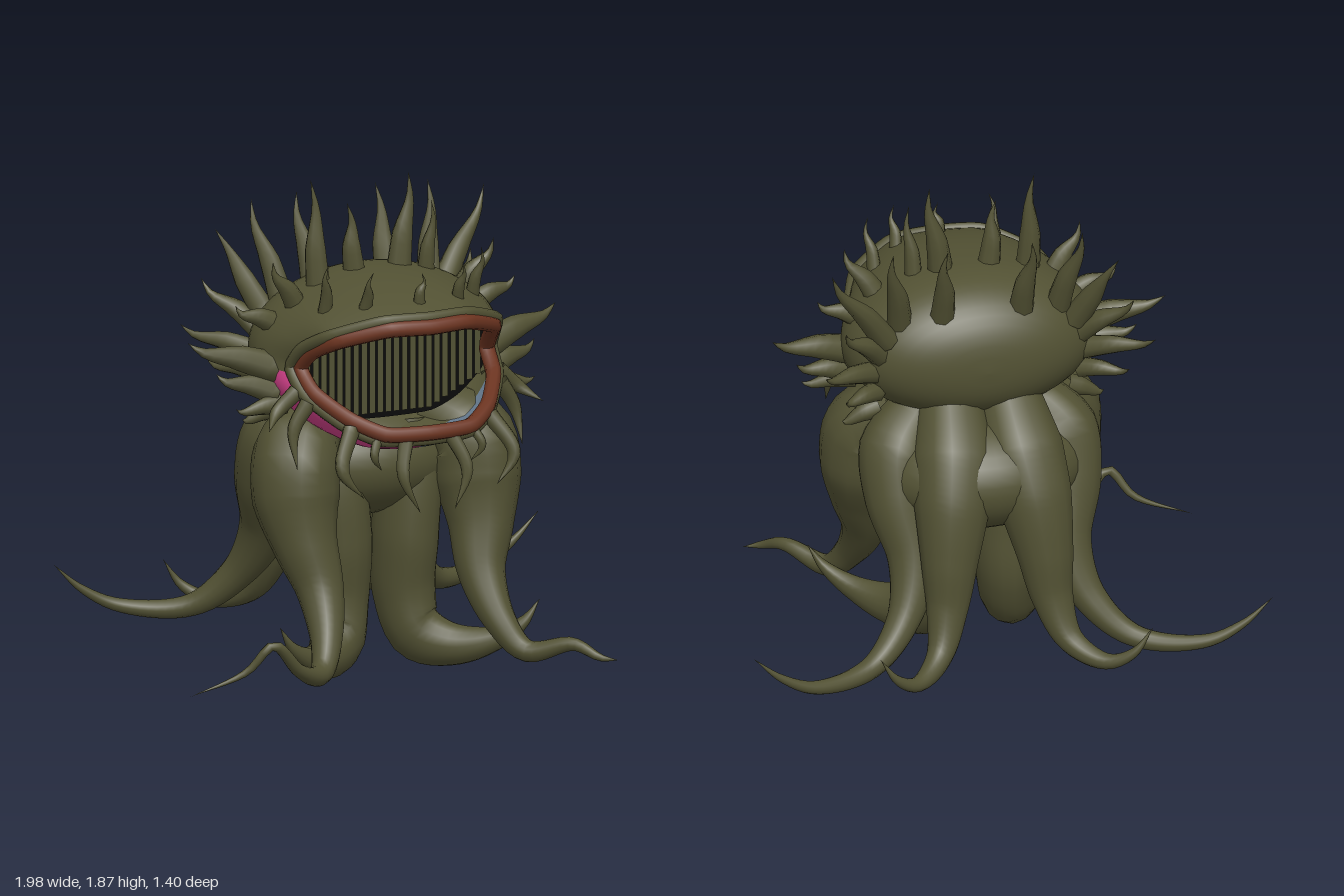
import * as THREE from 'three';

const material = (name, color) => {
  const m = new THREE.MeshStandardMaterial({ color, side: THREE.DoubleSide });
  m.name = name;
  return m;
};

// Tapered tube through points [x, y, z, radius]; squash narrows it in x
function taper(points, sides, steps, squash = 1) {
  const curve = new THREE.CatmullRomCurve3(points.map(p => new THREE.Vector3(p[0], p[1], p[2])), false, 'centripetal');
  const frames = curve.computeFrenetFrames(steps);
  const pos = [], index = [];
  for (let i = 0; i <= steps; i++) {
    const c = curve.getPointAt(i / steps);
    const f = curve.getUtoTmapping(i / steps) * (points.length - 1);
    const k = Math.min(Math.floor(f), points.length - 2);
    const r = THREE.MathUtils.lerp(points[k][3], points[k + 1][3], f - k);
    for (let j = 0; j < sides; j++) {
      const a = j / sides * Math.PI * 2;
      const d = frames.normals[i].clone().multiplyScalar(Math.cos(a) * r)
        .addScaledVector(frames.binormals[i], Math.sin(a) * r);
      pos.push(c.x + d.x * squash, c.y + d.y, c.z + d.z);
      if (i < steps) {
        const n = (j + 1) % sides, s = i * sides;
        index.push(s + j, s + n, s + sides + j, s + n, s + sides + n, s + sides + j);
      }
    }
  }
  const g = new THREE.BufferGeometry();
  g.setAttribute('position', new THREE.Float32BufferAttribute(pos, 3));
  g.setIndex(index);
  g.computeVertexNormals();
  return g;
}

// Mouth rim, top centre round by the left corner and back; spread pushes it outward
function rimCurve(spread = 0, dz = 0) {
  const half = [[0, 1.395, 0.51], [0.16, 1.395, 0.485], [0.315, 1.345, 0.38], [0.365, 1.285, 0.26], [0.38, 1.21, 0.19],
    [0.365, 1.13, 0.28], [0.28, 1.05, 0.41], [0.17, 1.0, 0.49], [0, 0.995, 0.51]];
  const all = half.concat(half.slice(1, 8).reverse().map(p => [-p[0], p[1], p[2]]));
  return new THREE.CatmullRomCurve3(all.map(([x, y, z]) => {
    const d = new THREE.Vector2(x, (y - 1.21) * 1.8).normalize().multiplyScalar(spread);
    return new THREE.Vector3(x + d.x, y + d.y, z + dz);
  }), true, 'catmullrom', 0.3);
}

// Head shell: rows from the back pole over the equator to the mouth rim
function headGeometry() {
  const rows = 24, cols = 64, pos = [], lists = [[], [], []];
  const rim = rimCurve(0.025, -0.01);
  for (let i = 0; i <= rows; i++) {
    const t = i / rows;
    for (let j = 0; j < cols; j++) {
      const u = j / cols, a = u * Math.PI * 2, s = Math.sin(a), c = Math.cos(a);
      const e = new THREE.Vector3(0.48 * s, 1.24 + (c > 0 ? 0.29 : 0.28) * c, 0);
      if (t <= 0.5) {
        const k = Math.pow(Math.sin(t * Math.PI), 0.8);
        pos.push(e.x * k, 1.22 + (e.y - 1.22) * k, -0.3 * Math.cos(t * Math.PI));
      } else {
        const r = rim.getPoint(u);
        const mid = new THREE.Vector3(e.x, e.y - 0.14 * Math.max(0, -c), r.z * 0.6);
        const p = new THREE.QuadraticBezierCurve3(e, mid, r).getPoint(t * 2 - 1);
        pos.push(p.x, p.y, p.z);
      }
      if (i < rows) {
        const n = (j + 1) % cols, b = i * cols, w = b + cols;
        const pouch = i >= 16 && i < rows - 1 && u >= 0.25 && u < 0.72;
        const list = lists[pouch ? (u < 0.5 ? 1 : 2) : 0];
        list.push(b + j, w + j, w + n, b + j, w + n, b + n);
      }
    }
  }
  const g = new THREE.BufferGeometry();
  g.setAttribute('position', new THREE.Float32BufferAttribute(pos, 3));
  g.setIndex(lists.flat());
  let start = 0;
  lists.forEach((l, m) => { g.addGroup(start, l.length, m); start += l.length; });
  g.computeVertexNormals();
  return g;
}

export function createModel() {
  const root = new THREE.Group();
  root.name = 'tentacledCreature';
  const skin = material('olive skin', 0x525133), lip = material('red brown lip', 0x6c3420);
  const pink = material('pink mouth', 0xd04088), blue = material('grey blue pouch', 0x64788c);
  const black = material('black throat', 0x080808);
  const add = (name, geometry, mat, parent = root) => {
    const m = new THREE.Mesh(geometry, mat);
    m.name = name;
    parent.add(m);
    return m;
  };
  const group = name => {
    const g = new THREE.Group();
    g.name = name;
    root.add(g);
    return g;
  };

  // Head and lips
  add('head', headGeometry(), [skin, blue, pink]);
  add('lip', new THREE.TubeGeometry(rimCurve(), 96, 0.03, 8, true), lip);
  add('lipFold', new THREE.TubeGeometry(rimCurve(0.03, -0.025), 96, 0.024, 8, true), skin);

  // Throat panel with vertical ribs
  const outline = rimCurve(0.02).getPoints(64).map(p => new THREE.Vector2(p.x, p.y));
  add('throat', new THREE.ShapeGeometry(new THREE.Shape(outline)), black).position.z = 0.14;
  const ribs = group('throatRibs');
  for (let i = -11; i <= 11; i++) {
    const x = i * 0.033, h = 0.41 - Math.max(0, Math.abs(x) - 0.17) * 1.1;
    add('rib', new THREE.PlaneGeometry(0.024, h), skin, ribs).position.set(x, 1.2, 0.146);
  }

  // Mantle that joins the tentacle legs
  const mantle = add('mantle', new THREE.SphereGeometry(1, 32, 20), skin);
  mantle.scale.set(0.4, 0.23, 0.32);
  mantle.position.set(0, 0.785, -0.14);

  // Tentacle legs, in mirrored pairs
  const legs = group('legs');
  const frontLeg = [[0.24, 0.95, -0.02, 0.12], [0.355, 0.855, 0.1, 0.165], [0.37, 0.7, 0.13, 0.165], [0.36, 0.55, 0.18, 0.125],
    [0.33, 0.38, 0.25, 0.09], [0.355, 0.21, 0.36, 0.06], [0.42, 0.11, 0.45, 0.042]];
  const frontTips = {
    1: [[0.55, 0.15, 0.58, 0.025], [0.62, 0.11, 0.67, 0.014], [0.68, 0.1, 0.69, 0]],
    [-1]: [[0.56, 0.16, 0.56, 0.025], [0.69, 0.28, 0.61, 0.018], [0.78, 0.18, 0.57, 0.014], [0.99, 0.1, 0.53, 0]],
  };
  const middleLeg = [[0.15, 0.92, -0.04, 0.14], [0.15, 0.7, 0, 0.15], [0.135, 0.48, 0, 0.155], [0.135, 0.28, -0.01, 0.145],
    [0.16, 0.13, 0.04, 0.125], [0.25, 0.085, 0.13, 0.085], [0.37, 0.11, 0.24, 0.05], [0.47, 0.18, 0.31, 0.025], [0.53, 0.27, 0.33, 0]];
  const outerLeg = [[0.22, 0.99, -0.08, 0.11], [0.31, 0.87, -0.14, 0.145], [0.32, 0.7, -0.21, 0.13], [0.29, 0.5, -0.3, 0.1],
    [0.35, 0.31, -0.4, 0.065], [0.5, 0.17, -0.5, 0.042], [0.74, 0.17, -0.61, 0.026], [0.88, 0.24, -0.64, 0.015], [0.99, 0.34, -0.65, 0]];
  const backLeg = [[0.11, 1.02, -0.15, 0.13], [0.13, 0.87, -0.27, 0.16], [0.155, 0.72, -0.35, 0.145], [0.18, 0.53, -0.41, 0.11],
    [0.2, 0.35, -0.45, 0.08], [0.25, 0.2, -0.53, 0.05], [0.36, 0.15, -0.64, 0.03], [0.45, 0.2, -0.69, 0.018], [0.52, 0.3, -0.7, 0]];
  for (const s of [1, -1]) {
    const side = pts => pts.map(([x, y, z, r]) => [x * s, y, z, r]);
    add('frontLeg', taper(side(frontLeg.concat(frontTips[s])), 14, 50), skin, legs);
    add('middleLeg', taper(side(middleLeg), 16, 44, 0.78), skin, legs);
    add('outerBackLeg', taper(side(outerLeg), 14, 50), skin, legs);
    add('innerBackLeg', taper(side(backLeg), 14, 50), skin, legs);
  }

  // Thorns: thick cone with a thin, bent tip
  const thorns = group('thorns');
  const thorn = (b, t, r, s = 1) => {
    const at = (k, dx, dy) => [0, 1, 2].map(i => (b[i] + (t[i] - b[i]) * k) + (i === 0 ? dx : i === 1 ? dy : 0));
    const pts = [[...b, r], [...at(0.4, 0, 0), r * 0.8], [...at(0.78, 0.014, -0.014), r * 0.3], [...t, 0]];
    add('thorn', taper(pts.map(p => [p[0] * s, p[1], p[2], p[3]]), 8, 10), skin, thorns);
  };
  // Unpaired thorns of the crown, brow and back
  thorn([-0.23, 1.44, 0.03], [-0.25, 1.87, 0], 0.05);
  thorn([-0.08, 1.5, 0.02], [-0.11, 1.77, 0.02], 0.045);
  thorn([0.1, 1.48, 0.02], [0.15, 1.86, 0], 0.05);
  thorn([0.2, 1.46, 0.04], [0.21, 1.76, 0.07], 0.035);
  thorn([0.01, 1.46, 0.39], [0.01, 1.58, 0.41], 0.024);
  thorn([0.36, 1.34, -0.17], [0.6, 1.7, -0.3], 0.05);
  thorn([-0.36, 1.34, -0.17], [-0.49, 1.64, -0.32], 0.05);
  // Mirrored thorns: base, tip, radius
  const pairs = [
    // brow
    [[0.19, 1.44, 0.34], [0.18, 1.6, 0.4], 0.026], [[0.3, 1.42, 0.23], [0.31, 1.62, 0.29], 0.028],
    // sides
    [[0.43, 1.19, 0.08], [0.75, 1.3, 0.0], 0.06], [[0.4, 1.34, 0.03], [0.57, 1.43, 0.03], 0.045],
    [[0.33, 1.4, 0.06], [0.45, 1.6, 0.1], 0.045], [[0.43, 1.1, 0.09], [0.65, 1.18, 0.03], 0.05],
    [[0.41, 1.06, 0.11], [0.61, 1.06, 0.12], 0.042], [[0.36, 1.01, -0.05], [0.5, 0.97, -0.06], 0.045],
    // back of the head
    [[0.15, 1.4, -0.18], [0.16, 1.75, -0.31], 0.05], [[0.3, 1.38, -0.14], [0.36, 1.75, -0.28], 0.05],
    [[0.38, 1.28, -0.16], [0.55, 1.46, -0.31], 0.045],
    [[0.4, 1.2, -0.14], [0.63, 1.29, -0.32], 0.045], [[0.39, 1.12, -0.14], [0.54, 1.16, -0.28], 0.04],
  ];
  for (const s of [1, -1]) pairs.forEach(([b, t, r]) => thorn(b, t, r, s));

  // Hooked barbels under the lower lip: base, belly, tip, radius
  const barbels = group('chinBarbels');
  const hooks = [
    [[0.09, 0.98, 0.49], [0.13, 0.85, 0.55], [0.07, 0.71, 0.57], 0.03],
    [[0.28, 1.02, 0.42], [0.35, 0.88, 0.49], [0.27, 0.77, 0.51], 0.033],
    [[0.19, 0.99, 0.46], [0.22, 0.92, 0.49], [0.18, 0.86, 0.47], 0.02],
    [[0.39, 1.1, 0.28], [0.45, 1.0, 0.28], [0.46, 0.86, 0.33], 0.033],
    [[0.41, 1.13, 0.22], [0.49, 1.06, 0.22], [0.56, 1.01, 0.3], 0.033],
  ];
  for (const s of [1, -1]) for (const [b, m, t, r] of hooks) {
    const pts = [[...b, r], [...m, r * 0.8], [...t, 0]].map(p => [p[0] * s, p[1], p[2], p[3]]);
    add('barbel', taper(pts, 8, 12), skin, barbels);
  }
  return root;
}
